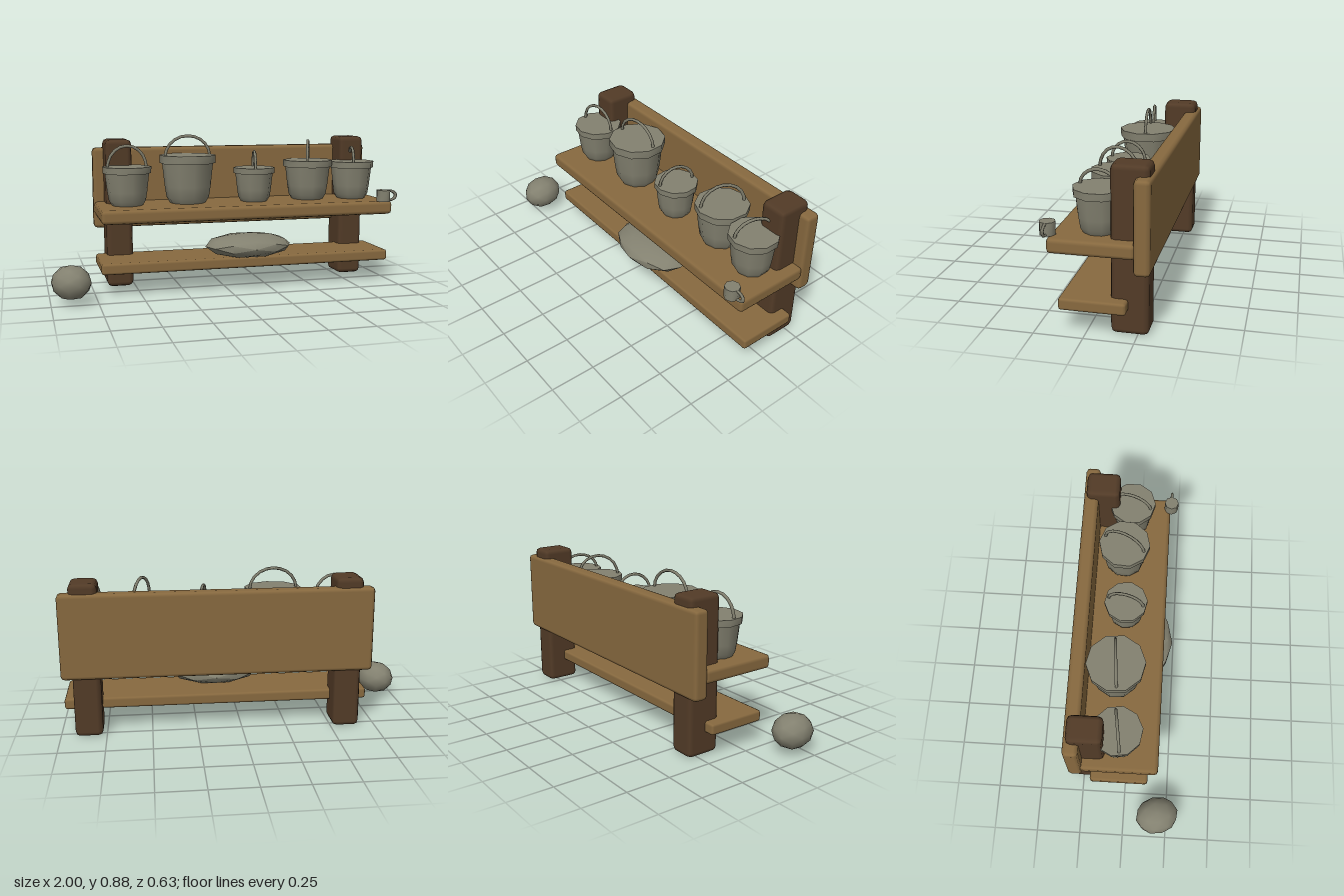
import * as THREE from 'three';
import { toCreasedNormals } from 'three/addons/utils/BufferGeometryUtils.js';
import { RoundedBoxGeometry } from 'three/addons/geometries/RoundedBoxGeometry.js';

const material = (name, color) => {
  const m = new THREE.MeshStandardMaterial({ color });
  m.name = name;
  return m;
};

export function createModel() {
  const plankWood = material('plank wood', 0x87693f);
  const postWood = material('dark post wood', 0x523b27);
  const iron = material('grey iron', 0x838170);
  const group = new THREE.Group();

  const add = (parent, name, geometry, mat, x = 0, y = 0, z = 0) => {
    const mesh = new THREE.Mesh(geometry, mat);
    mesh.name = name;
    mesh.position.set(x, y, z);
    parent.add(mesh);
    return mesh;
  };

  // Chamfered beam given by its extents
  const beam = (name, mat, [x0, x1], [y0, y1], [z0, z1], chamfer) =>
    add(group, name, new RoundedBoxGeometry(x1 - x0, y1 - y0, z1 - z0, 1, chamfer), mat,
      (x0 + x1) / 2, (y0 + y1) / 2, (z0 + z1) / 2);

  // Frame: back board, two shelves, two posts
  beam('backBoard', plankWood, [-0.72, 0.98], [0.33, 0.8], [-0.32, -0.237], 0.022);
  beam('upperShelf', plankWood, [-0.72, 0.98], [0.41, 0.488], [-0.25, 0.183], 0.022);
  beam('lowerShelf', plankWood, [-0.72, 0.98], [0.125, 0.188], [-0.205, 0.13], 0.015);
  beam('rightPost', postWood, [-0.66, -0.51], [0, 0.852], [-0.305, -0.115], 0.027);
  beam('leftPost', postWood, [0.77, 0.92], [0, 0.852], [-0.305, -0.115], 0.027);

  // Lidded pot with a rim band and an arched carrying handle
  const pot = (x, z, r, top, peak, turn) => {
    const base = 0.488, h = top - base, band = h * 0.17;
    const p = new THREE.Group();
    p.name = 'pot';
    p.position.set(x, base, z);
    p.rotation.y = turn;
    const profile = [[0, 0], [0.64, 0], [0.76, 0.12], [0.82, 0.35], [0.92, 0.9]]
      .map(([px, py]) => new THREE.Vector2(px * r, py * h));
    add(p, 'potBody', toCreasedNormals(new THREE.LatheGeometry(profile, 10), 0.7), iron);
    add(p, 'potRim', toCreasedNormals(new THREE.CylinderGeometry(r, r * 0.99, band, 10), 0.7), iron,
      0, h - band / 2, 0);
    const w = r * 0.83, foot = h - 0.01, rise = peak - 0.008 - base - foot;
    const arc = [];
    for (let i = 0; i <= 8; i++) {
      const a = Math.PI * i / 8;
      arc.push(new THREE.Vector3(-Math.cos(a) * w, foot + Math.sin(a) * rise, 0));
    }
    add(p, 'potHandle', new THREE.TubeGeometry(new THREE.CatmullRomCurve3(arc), 10, 0.009, 5), iron);
    group.add(p);
  };
  pot(-0.55, -0.045, 0.137, 0.706, 0.83, 0.14);
  pot(-0.195, -0.075, 0.162, 0.763, 0.88, 0.08);
  pot(0.197, -0.045, 0.121, 0.685, 0.785, 1.36);
  pot(0.54, -0.073, 0.146, 0.72, 0.842, 1.19);
  pot(0.81, -0.042, 0.133, 0.71, 0.8, 1.28);

  // Small mug at the shelf edge
  const mug = new THREE.Group();
  mug.name = 'mug';
  mug.position.set(0.915, 0.522, 0.188);
  add(mug, 'mugBody', toCreasedNormals(new THREE.CylinderGeometry(0.041, 0.041, 0.066, 8), 0.9), iron);
  const mugHandle = add(mug, 'mugHandle', new THREE.TorusGeometry(0.027, 0.008, 5, 8, Math.PI), iron, 0.038, 0, 0);
  mugHandle.rotation.z = -Math.PI / 2;
  mugHandle.scale.y = 1.45;
  group.add(mug);

  // Flattened sack on the lower shelf, creased along its edge
  const sackShape = new THREE.IcosahedronGeometry(1, 1);
  sackShape.scale(0.254, 0.07, 0.174);
  add(group, 'sack', toCreasedNormals(sackShape, 0.65), iron, 0.13, 0.247, 0.063);

  // Round boulder beside the rack
  const boulder = add(group, 'boulder', new THREE.IcosahedronGeometry(1, 1), iron, -0.89, 0.115, 0.195);
  boulder.scale.set(0.105, 0.094, 0.124);
  boulder.rotation.y = 0.3;

  return group;
}
